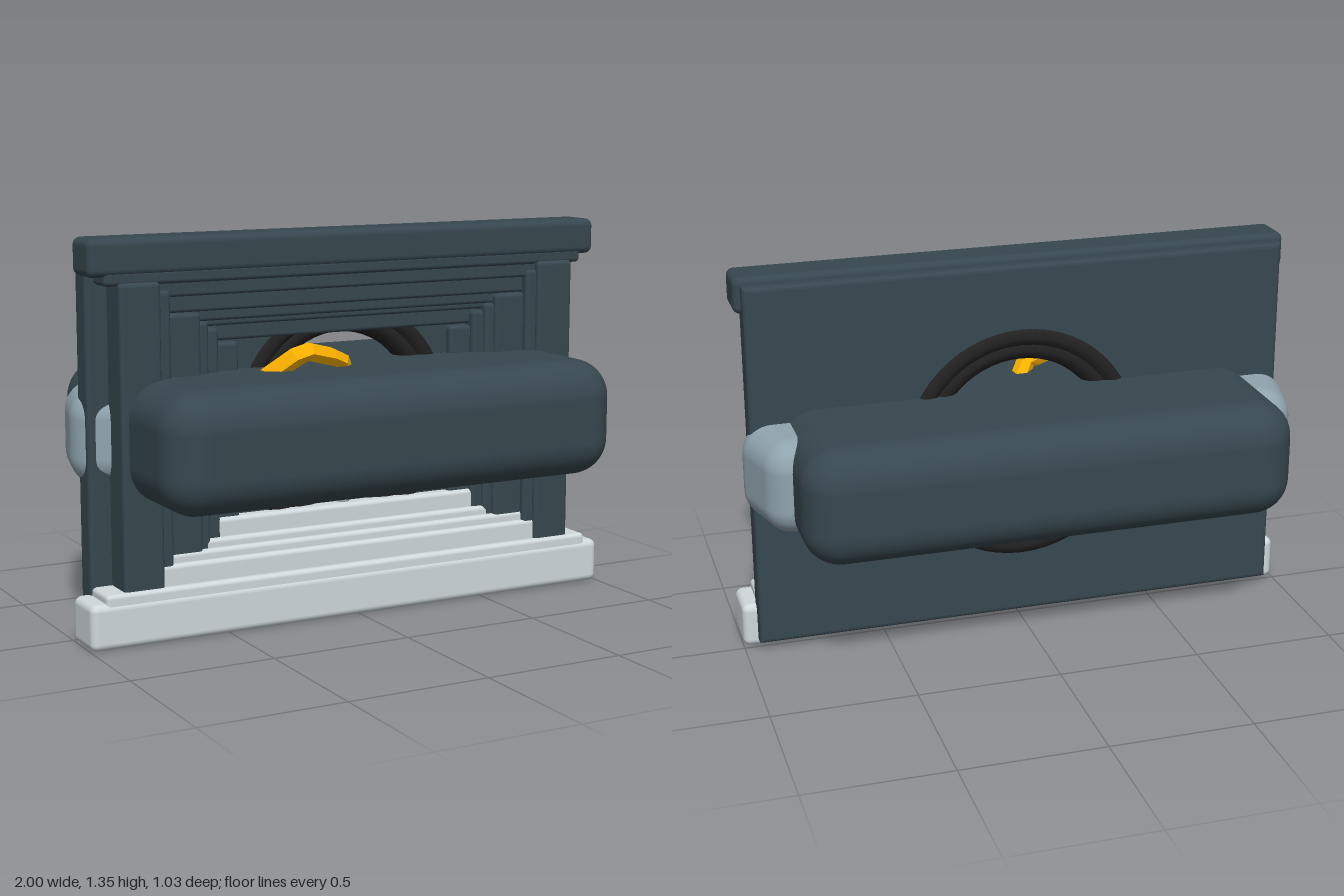
import * as THREE from 'three';
import { RoundedBoxGeometry } from 'three/addons/geometries/RoundedBoxGeometry.js';

export function createModel() {
  const model = new THREE.Group();
  const mat = (color) => new THREE.MeshStandardMaterial({ color });
  const dark = mat(0x37474f), pale = mat(0xcfd8dc), grey = mat(0x90a4ae);
  const black = mat(0x212121), amber = mat(0xffb300);
  amber.flatShading = true;

  const add = (name, geometry, material) => {
    const mesh = new THREE.Mesh(geometry, material);
    mesh.name = name;
    model.add(mesh);
    return mesh;
  };
  // Rounded block given by its extents
  const block = (name, x0, x1, y0, y1, z0, z1, r, material, seg = 3) => {
    const mesh = add(name, new RoundedBoxGeometry(x1 - x0, y1 - y0, z1 - z0, seg, r), material);
    mesh.position.set((x0 + x1) / 2, (y0 + y1) / 2, (z0 + z1) / 2);
    return mesh;
  };
  const midY = 0.675;

  // Back panel with a round opening
  const w = 0.935, y0 = 0.045, y1 = 1.305;
  const outline = new THREE.Shape([[-w, y0], [w, y0], [w, y1], [-w, y1]].map((p) => new THREE.Vector2(...p)));
  const hole = new THREE.Path();
  hole.absarc(0, midY, 0.39, 0, Math.PI * 2, true);
  outline.holes.push(hole);
  const panel = add('backPanel', new THREE.ExtrudeGeometry(outline, {
    depth: 0.062, bevelThickness: 0.015, bevelSize: 0.015, bevelSegments: 3, curveSegments: 32,
  }), dark);
  panel.position.z = -0.03;

  // Double ring lining the opening
  for (const [radius, tube] of [[0.39, 0.046], [0.342, 0.04]]) {
    const ring = add('openingRing', new THREE.TorusGeometry(radius, tube, 12, 56), black);
    ring.position.set(0, midY, 0);
    ring.scale.z = 1.3;
  }

  // Long body passing through the opening
  block('body', -0.85, 0.85, 0.472, 0.88, -0.513, 0.513, 0.13, dark, 6);

  // Side pods, angled outward to the back
  for (const s of [-1, 1]) {
    const pod = block('sidePod', -0.17, 0.17, 0.512, 0.842, -0.17, 0.17, 0.1, grey, 6);
    pod.position.set(s * 0.79, 0.677, -0.09);
    pod.rotation.y = s * 0.27;
  }

  // Cornice
  block('cornice', -0.975, 0.975, 1.22, 1.345, -0.005, 0.15, 0.025, dark);
  block('corniceMoulding', -0.92, 0.92, 1.19, 1.24, 0.02, 0.145, 0.015, dark);

  // Stepped jambs: [outer x, inner x, top y, front z]
  const jambs = [
    [0.875, 0.73, 1.2, 0.16], [0.76, 0.69, 1.17, 0.145], [0.7, 0.575, 1.088, 0.125],
    [0.6, 0.54, 1.055, 0.11], [0.56, 0.497, 1.03, 0.095], [0.51, 0.415, 0.977, 0.075],
  ];
  for (const [outer, inner, top, front] of jambs) {
    for (const s of [-1, 1]) {
      const a = s * outer, b = s * inner;
      block('jamb', Math.min(a, b), Math.max(a, b), 0.16, top, 0.02, front, 0.014, dark);
    }
  }

  // Stepped lintels: [half width, bottom y, top y, front z]
  const lintels = [
    [0.74, 1.145, 1.205, 0.135], [0.7, 1.09, 1.16, 0.115], [0.6, 1.055, 1.105, 0.1],
    [0.56, 1.035, 1.07, 0.085], [0.51, 0.983, 1.05, 0.07],
  ];
  for (const [hw, bottom, top, front] of lintels) {
    block('lintel', -hw, hw, bottom, top, 0.02, front, 0.012, dark);
  }

  // Pale base and receding steps: [half width, bottom y, top y, back z, front z]
  const steps = [
    [1, 0, 0.157, 0.005, 0.18], [0.945, 0.13, 0.185, 0.03, 0.175],
    [0.77, 0.16, 0.255, 0.02, 0.15], [0.71, 0.2, 0.287, 0.02, 0.13],
    [0.675, 0.23, 0.317, 0.02, 0.11], [0.565, 0.26, 0.38, 0.02, 0.09],
  ];
  steps.forEach(([hw, bottom, top, back, front], i) => {
    block(i ? 'step' : 'base', -hw, hw, bottom, top, back, front, i ? 0.015 : 0.025, pale);
  });

  // Thin post under the body
  const post = add('post', new THREE.CylinderGeometry(0.025, 0.025, 0.25, 12), grey);
  post.position.set(0, 0.42, 0.035);

  // Faceted amber handle leaning forward
  const handle = new THREE.CurvePath();
  const points = [[-0.36, 0.84, 0.12], [-0.225, 0.945, 0.185], [-0.075, 0.907, 0.155], [-0.02, 0.83, 0.1]]
    .map((p) => new THREE.Vector3(...p));
  for (let i = 1; i < points.length; i++) handle.add(new THREE.LineCurve3(points[i - 1], points[i]));
  add('handle', new THREE.TubeGeometry(handle, 9, 0.033, 6, false), amber);

  return model;
}
